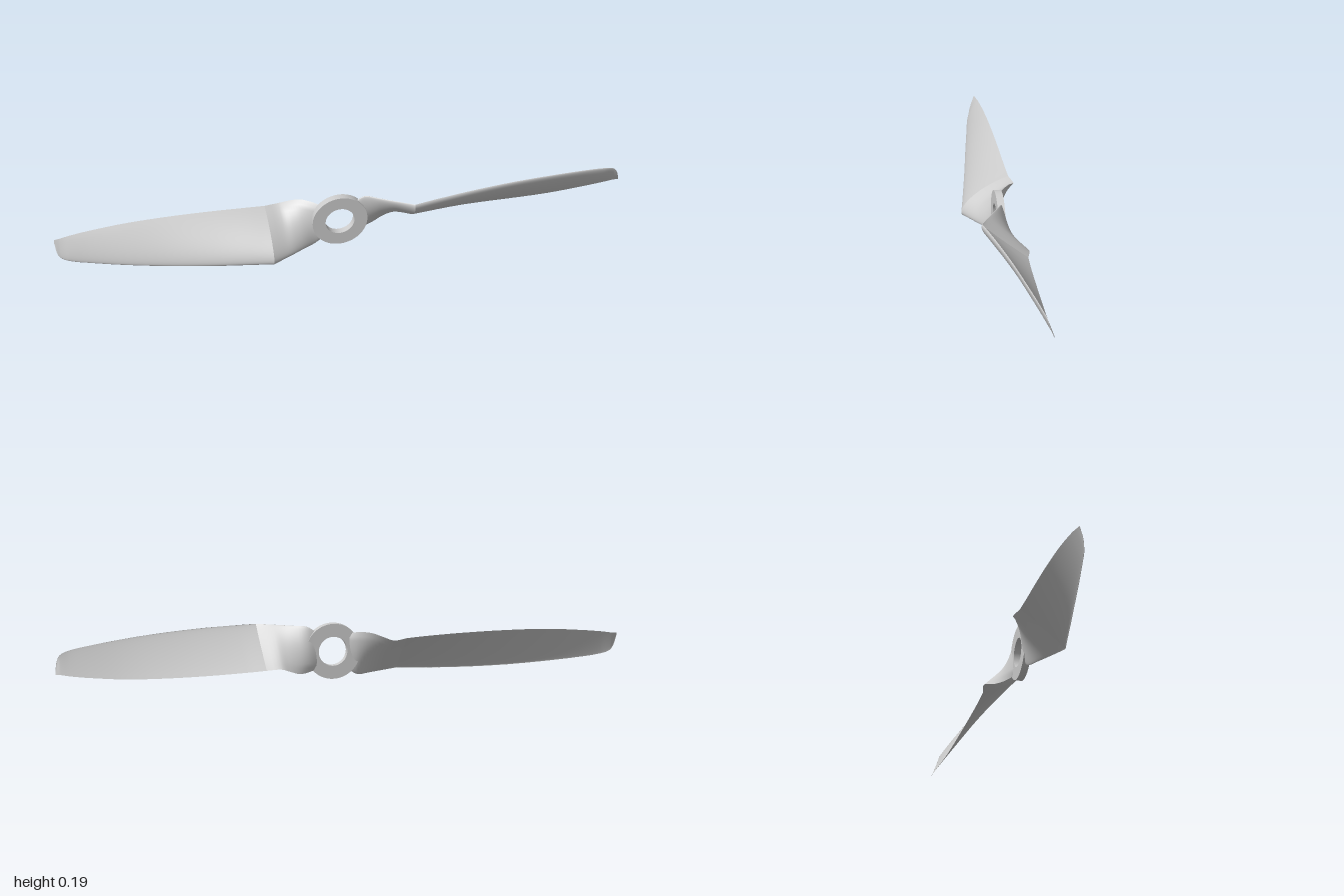
import * as THREE from 'three';

const HUB_Y = 0.097;

// Blade stations: x, top edge (y, z), bottom edge (y, z), front bulge, back offset
const ROOT = [
  [0.056, 0.165, -0.008, 0.038, -0.012, 0.010, -0.008],
  [0.09, 0.185, -0.003, 0.030, -0.035, 0.014, -0.008],
  [0.13, 0.186, 0.018, 0.031, -0.062, 0.018, -0.006],
  [0.165, 0.186, 0.038, 0.043, -0.078, 0.021, -0.004],
  [0.20, 0.186, 0.057, 0.055, -0.088, 0.024, -0.001],
  [0.25, 0.186, 0.084, 0.051, -0.077, 0.028, 0.004],
];
const BLADE = [
  ROOT[5],
  [0.32, 0.187, 0.071, 0.047, -0.075, 0.026, 0.005],
  [0.45, 0.187, 0.049, 0.042, -0.074, 0.021, 0.004],
  [0.60, 0.182, 0.024, 0.040, -0.073, 0.016, 0.003],
  [0.75, 0.171, 0.000, 0.043, -0.071, 0.012, 0.002],
  [0.88, 0.157, -0.022, 0.054, -0.069, 0.009, 0.001],
  [0.945, 0.147, -0.033, 0.062, -0.067, 0.007, 0.001],
  [0.98, 0.134, -0.042, 0.068, -0.065, 0.004, 0.001],
  [0.993, 0.112, -0.048, 0.069, -0.064, 0.002, 0.001],
  [1.00, 0.078, -0.060, 0.070, -0.063, 0.0005, 0.0005],
];

// Closed cross-section: up the bulged front, back down the flatter rear
function section([x, ty, tz, by, bz, front, back], n = 20) {
  const dy = ty - by, dz = tz - bz, len = Math.hypot(dy, dz);
  const p = THREE.MathUtils.mapLinear(THREE.MathUtils.clamp(x, 0.056, 0.25), 0.056, 0.25, 0.25, 0.9);
  const shape = s => Math.sqrt(s) * Math.pow(1 - s, p);
  const peak = shape(0.5 / (0.5 + p));
  const point = (u, bulge) => {
    const h = bulge * shape(1 - u) / peak;
    return [x, by + dy * u - dz / len * h - HUB_Y, bz + dz * u + dy / len * h];
  };
  const pts = [];
  // points gather towards the rounded top edge
  for (let i = 0; i <= n; i++) pts.push(point(1 - (1 - i / n) ** 2, front));
  for (let i = n - 1; i >= 0; i--) pts.push(point(1 - (1 - i / n) ** 2, back));
  return pts;
}

// Subdivide the station list smoothly
function refine(stations, steps) {
  const out = [];
  const at = i => stations[THREE.MathUtils.clamp(i, 0, stations.length - 1)];
  for (let i = 0; i < stations.length - 1; i++) {
    for (let k = 0; k < steps; k++) {
      const t = k / steps;
      out.push(at(i).map((v, c) => {
        const slope = j => {
          const a = at(j - 1), b = at(j + 1);
          return (b[c] - a[c]) / (b[0] - a[0]);
        };
        const w = at(i + 1)[0] - at(i)[0], t2 = t * t, t3 = t2 * t;
        return v * (2 * t3 - 3 * t2 + 1) + at(i + 1)[c] * (3 * t2 - 2 * t3)
          + w * (slope(i) * (t3 - 2 * t2 + t) + slope(i + 1) * (t3 - t2));
      }));
    }
  }
  out.push(stations[stations.length - 1]);
  return out;
}

function loft(stations, steps) {
  const rings = refine(stations, steps).map(s => section(s));
  const m = rings[0].length, index = [];
  for (let i = 0; i < rings.length - 1; i++) {
    for (let j = 0; j < m - 1; j++) {
      const a = i * m + j, b = a + m;
      index.push(a, b, a + 1, b, b + 1, a + 1);
    }
  }
  const geo = new THREE.BufferGeometry();
  geo.setAttribute('position', new THREE.Float32BufferAttribute(rings.flat(2), 3));
  geo.setIndex(index);
  geo.computeVertexNormals();
  return geo;
}

export function createModel() {
  const model = new THREE.Group();
  model.name = 'propeller';
  const material = new THREE.MeshStandardMaterial({ color: 0xcccccc, side: THREE.DoubleSide });
  const add = (parent, name, geo) => {
    const mesh = new THREE.Mesh(geo, material);
    mesh.name = name;
    parent.add(mesh);
    return mesh;
  };

  // Hub ring with the shaft hole
  const ring = new THREE.Shape().absarc(0, 0, 0.097, 0, Math.PI * 2);
  ring.holes.push(new THREE.Path().absarc(0, 0, 0.051, 0, Math.PI * 2, true));
  const hubGeo = new THREE.ExtrudeGeometry(ring, { depth: 0.025, bevelEnabled: false, curveSegments: 48 });
  add(model, 'hub', hubGeo).position.set(0, HUB_Y, -0.02);

  // Two identical blades, half a turn apart
  const rootGeo = loft(ROOT, 4), bladeGeo = loft(BLADE, 5);
  ['leftBlade', 'rightBlade'].forEach((name, i) => {
    const blade = new THREE.Group();
    blade.name = name;
    add(blade, 'bladeRoot', rootGeo);
    add(blade, 'bladeSurface', bladeGeo);
    blade.position.y = HUB_Y;
    blade.rotation.z = i * Math.PI;
    model.add(blade);
  });
  return model;
}
